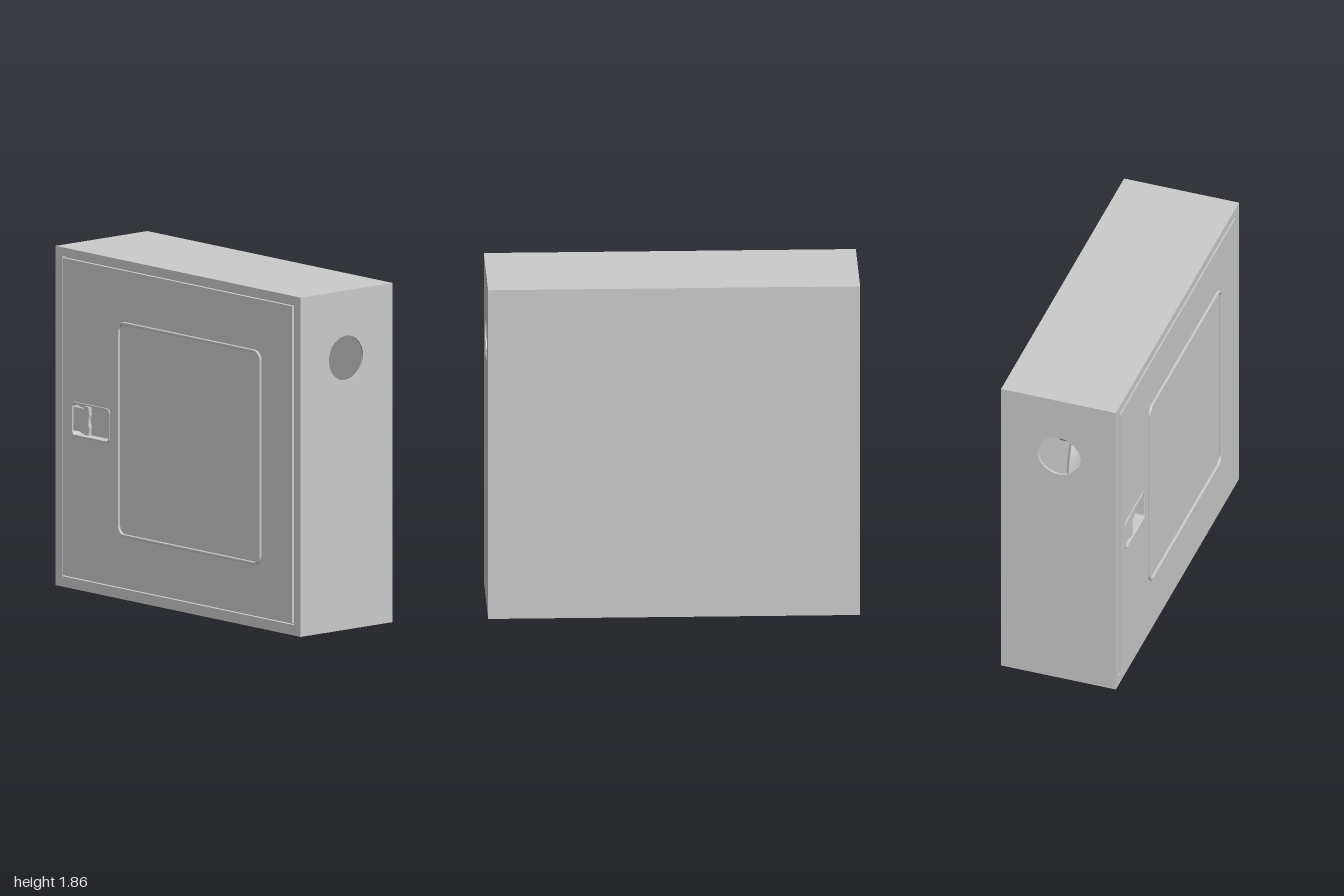
import * as THREE from 'three';

const mat = new THREE.MeshStandardMaterial({ color: 0xcccccc, side: THREE.DoubleSide });

// Rounded rectangle from its limits, as a Shape or a hole Path
function rect(x0, x1, y0, y1, r = 0, Type = THREE.Shape) {
  const p = new Type();
  if (r === 0) {
    p.moveTo(x0, y0).lineTo(x1, y0).lineTo(x1, y1).lineTo(x0, y1).closePath();
    return p;
  }
  p.absarc(x1 - r, y0 + r, r, -Math.PI / 2, 0);
  p.absarc(x1 - r, y1 - r, r, 0, Math.PI / 2);
  p.absarc(x0 + r, y1 - r, r, Math.PI / 2, Math.PI);
  p.absarc(x0 + r, y0 + r, r, Math.PI, Math.PI * 1.5);
  p.closePath();
  return p;
}

// Plate between z0 and z1 with holes and an optional chamfer on the front and back rims
function plate(shape, holes, z0, z1, bevel = 0) {
  shape.holes.push(...holes);
  const geo = new THREE.ExtrudeGeometry(shape, {
    depth: z1 - z0 - 2 * bevel, curveSegments: 10, bevelEnabled: bevel > 0,
    bevelSize: bevel, bevelOffset: -bevel, bevelThickness: bevel, bevelSegments: 1,
  });
  return geo.translate(0, 0, z0 + bevel);
}

export function createModel() {
  const group = new THREE.Group();
  const add = (name, geo, parent = group) => {
    const mesh = new THREE.Mesh(geo, mat);
    mesh.name = name;
    parent.add(mesh);
    return mesh;
  };
  const box = (name, x0, x1, y0, y1, z0, z1) => add(name,
    new THREE.BoxGeometry(x1 - x0, y1 - y0, z1 - z0)
      .translate((x0 + x1) / 2, (y0 + y1) / 2, (z0 + z1) / 2));

  const H = 1.855, back = -0.335, front = 0.319, t = 0.012;

  // Cabinet shell
  box('backPanel', -1 + t, 1 - t, t, H - t, back, back + t);
  box('topPanel', -1 + t, 1 - t, H - t, H, back, front);
  box('bottomPanel', -1 + t, 1 - t, 0, t, back, front);

  // Side panels with the round pipe openings
  for (const s of [-1, 1]) {
    const hole = new THREE.Path();
    hole.absarc(0.005, 1.485, 0.122, 0, Math.PI * 2);
    const shape = rect(-front, -back, 0, H);
    shape.holes.push(hole);
    const geo = new THREE.ExtrudeGeometry(shape, { depth: t, bevelEnabled: false, curveSegments: 32 });
    geo.rotateY(Math.PI / 2).translate(s > 0 ? 1 - t : -1, 0, 0);
    add(s > 0 ? 'leftPanel' : 'rightPanel', geo);
  }

  // Front surround and the lip that closes the gap behind the door
  add('frontSurround', plate(rect(-1 + t, 1 - t, t, H - t),
    [rect(-0.946, 0.944, 0.057, 1.808, 0, THREE.Path)], 0.299, front));
  add('doorStop', plate(rect(-0.96, 0.96, 0.04, 1.82),
    [rect(-0.92, 0.92, 0.08, 1.78, 0, THREE.Path)], 0.285, 0.299));

  // Door with window and latch cut-outs
  const door = new THREE.Group();
  door.name = 'door';
  group.add(door);
  const winHole = () => rect(-0.47, 0.67, 0.36, 1.505, 0.04, THREE.Path);
  const latchHole = () => rect(-0.855, -0.56, 0.848, 1.017, 0.02, THREE.Path);
  add('doorPanel', plate(rect(-0.936, 0.934, 0.066, 1.799),
    [winHole(), latchHole()], 0.304, 0.323), door);

  // Window with raised trim
  add('windowTrim', plate(rect(-0.485, 0.685, 0.345, 1.52, 0.055), [winHole()], 0.31, 0.335, 0.003), door);
  add('windowPane', plate(rect(-0.475, 0.675, 0.355, 1.51, 0.04), [], 0.308, 0.322), door);

  // Latch: rim, recessed cup and pull paddle
  const latch = new THREE.Group();
  latch.name = 'latch';
  door.add(latch);
  add('latchRim', plate(rect(-0.866, -0.55, 0.838, 1.027, 0.03), [latchHole()], 0.315, 0.328, 0.002), latch);
  add('latchCupWall', plate(rect(-0.861, -0.554, 0.842, 1.023, 0.025), [latchHole()], 0.275, 0.315), latch);
  add('latchCupFloor', plate(rect(-0.861, -0.554, 0.842, 1.023, 0.025), [], 0.269, 0.275), latch);
  const paddle = new THREE.Shape();
  paddle.moveTo(-0.855, 0.868).lineTo(-0.77, 0.868).lineTo(-0.765, 0.855).lineTo(-0.73, 0.855);
  paddle.lineTo(-0.727, 0.9).quadraticCurveTo(-0.738, 0.933, -0.727, 0.966);
  paddle.lineTo(-0.73, 1.01).lineTo(-0.765, 1.01).lineTo(-0.77, 0.997).lineTo(-0.855, 0.997).closePath();
  add('latchPaddle', plate(paddle, [], 0.3, 0.32), latch);

  // Hose reel inside, its axis running front to back
  const profile = [[0.1, -0.13], [0.505, -0.13], [0.505, -0.115], [0.48, -0.08],
    [0.48, 0.08], [0.505, 0.115], [0.505, 0.13], [0.1, 0.13], [0.1, -0.13]]
    .map(([r, z]) => new THREE.Vector2(r, z));
  const reel = add('hoseReel', new THREE.LatheGeometry(profile, 48).rotateX(Math.PI / 2));
  reel.position.set(0, 0.93, -0.005);
  const axle = add('reelAxle', new THREE.CylinderGeometry(0.1, 0.1, 0.45, 24).rotateX(Math.PI / 2));
  axle.position.set(0, 0.93, -0.1);

  return group;
}
